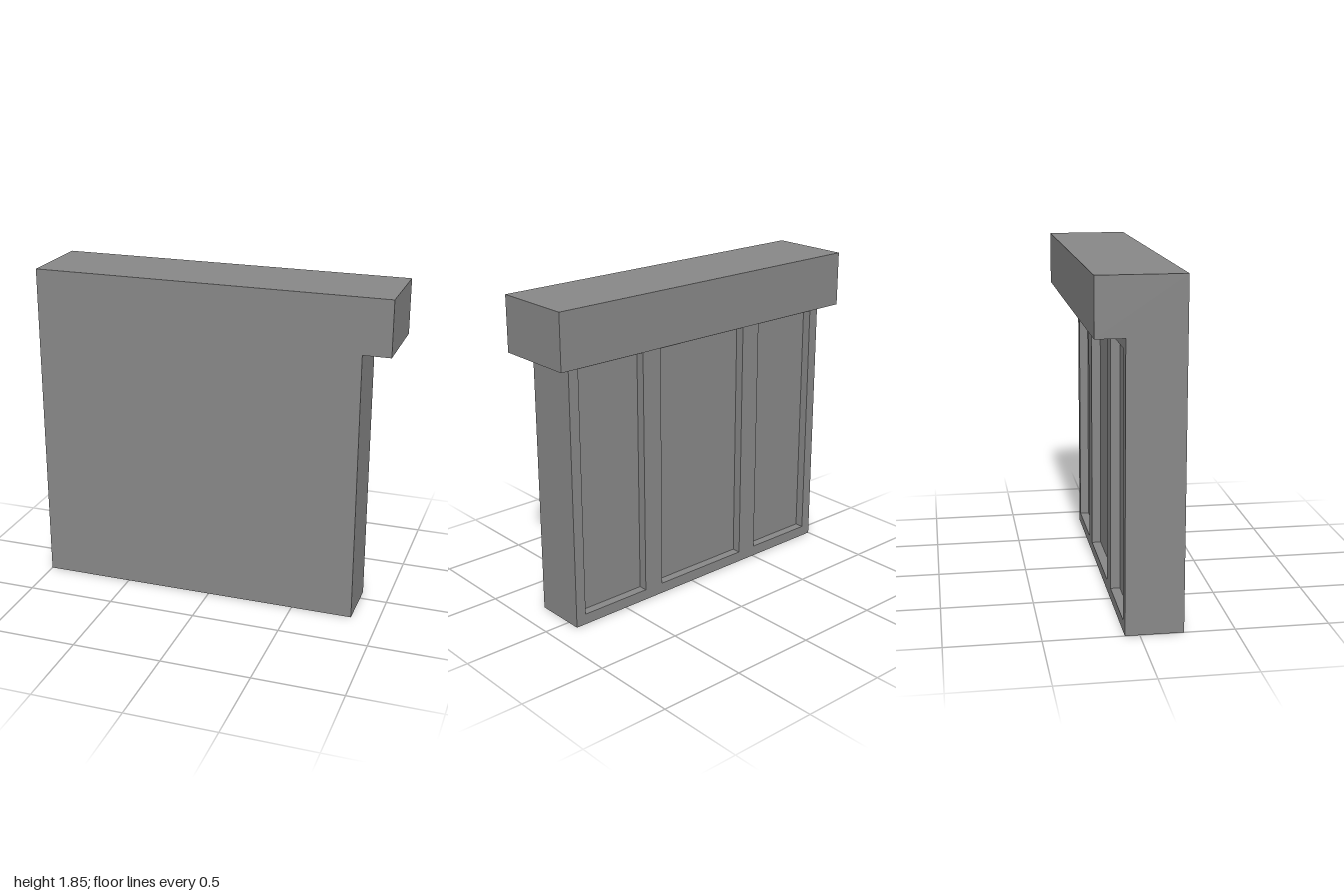
import * as THREE from 'three';

const U = 1 / 13; // modular unit: the cap is 26 units long
const material = new THREE.MeshStandardMaterial({ color: 0x888888 });

function addBox(group, name, min, max) {
  const size = max.map((v, i) => (v - min[i]) * U);
  const mesh = new THREE.Mesh(new THREE.BoxGeometry(...size), material);
  mesh.position.set(...max.map((v, i) => ((v + min[i]) / 2) * U));
  mesh.name = name;
  group.add(mesh);
}

function rectangle(path, x0, y0, x1, y1) {
  path.moveTo(x0, y0);
  path.lineTo(x1, y0);
  path.lineTo(x1, y1);
  path.lineTo(x0, y1);
  path.closePath();
  return path;
}

export function createModel() {
  const group = new THREE.Group();
  group.name = 'panelledWall';
  const recess = 0.67;

  // Solid wall with a plain front
  addBox(group, 'wallCore', [-13, 0, -1 + recess], [11, 20, 3]);

  // Cap overhanging the back and the left end
  addBox(group, 'cap', [-13, 20, -3], [13, 24, 3]);

  // Back frame with three recessed panels
  const outline = rectangle(new THREE.Shape(), -13, 0, 11, 20);
  for (const [x0, x1] of [[-12.2, -6.6], [-5, 3], [4.6, 10.2]]) {
    outline.holes.push(rectangle(new THREE.Path(), x0, 0.8, x1, 19.2));
  }
  const frame = new THREE.ExtrudeGeometry(outline, { depth: recess, bevelEnabled: false });
  frame.translate(0, 0, -1).scale(U, U, U);
  const backFrame = new THREE.Mesh(frame, material);
  backFrame.name = 'backPanelFrame';
  group.add(backFrame);

  return group;
}
